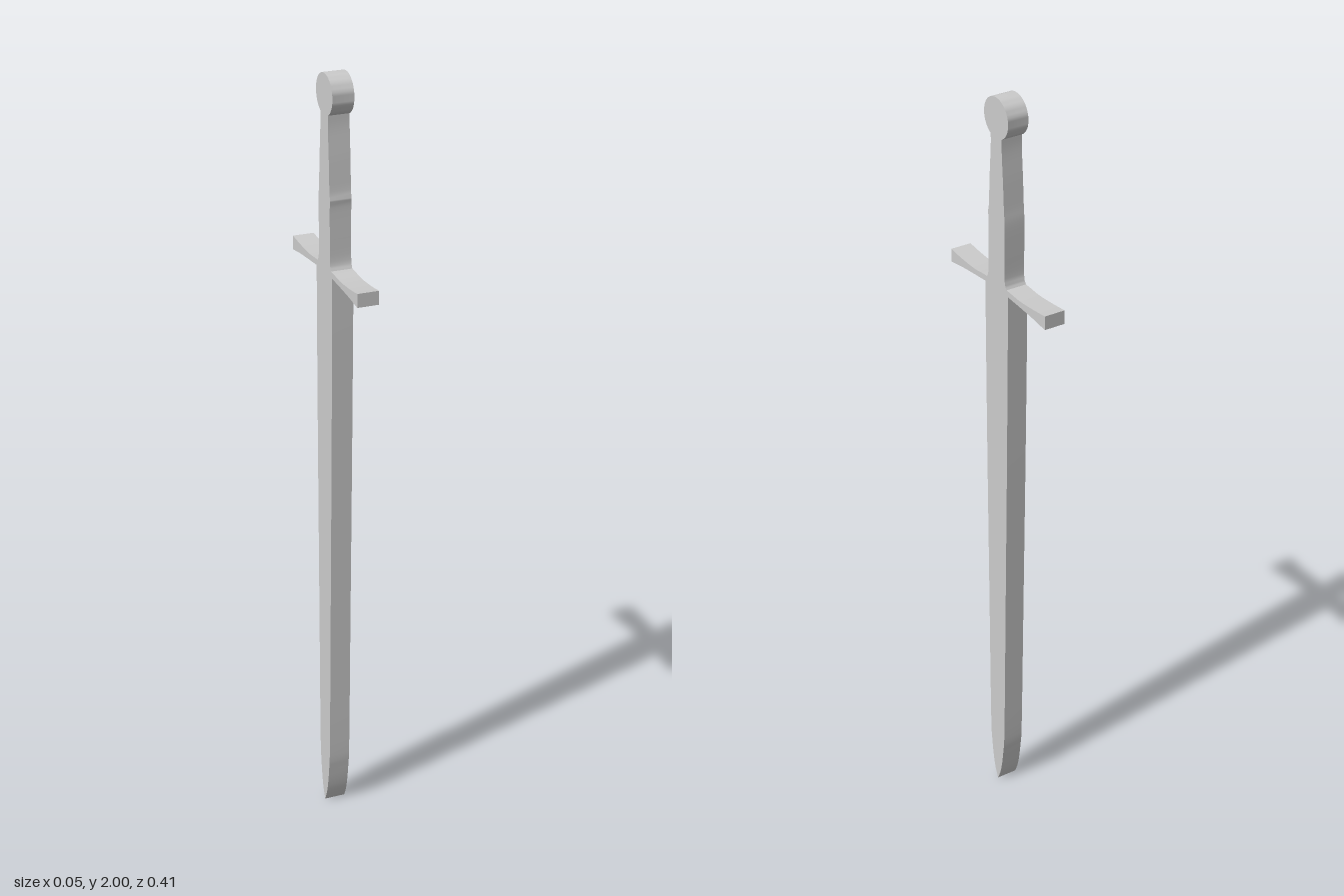
import * as THREE from 'three';
import { toCreasedNormals } from 'three/addons/utils/BufferGeometryUtils.js';

const THICKNESS = 0.055;

export function createModel() {
  const sword = new THREE.Group();
  sword.name = 'sword';
  const material = new THREE.MeshStandardMaterial({ color: 0xcccccc });

  const add = (name, geometry) => {
    const mesh = new THREE.Mesh(toCreasedNormals(geometry, 0.5), material);
    mesh.name = name;
    sword.add(mesh);
    return mesh;
  };

  // Cuts a flat slab from a z-y outline, centred on x = 0
  const slab = (name, outline) => {
    const geometry = new THREE.ExtrudeGeometry(new THREE.Shape(outline), {
      depth: THICKNESS, bevelEnabled: false,
    });
    geometry.translate(0, 0, -THICKNESS / 2).rotateY(-Math.PI / 2);
    return add(name, geometry);
  };

  const smooth = (points, steps) =>
    new THREE.SplineCurve(points.map(([z, y]) => new THREE.Vector2(z, y))).getPoints(steps);

  // Blade: gentle taper, then a curved point; slightly wider towards the front
  const bladeEdge = [[0, 0], [0.016, 0.04], [0.028, 0.11], [0.034, 0.2],
    [0.040, 0.6], [0.046, 1.0], [0.050, 1.35], [0.051, 1.508]];
  const bladeFront = smooth(bladeEdge, 28);
  const bladeBack = smooth(bladeEdge.map(([z, y]) => [-z * 0.95, y]), 28);
  slab('blade', [...bladeBack.reverse(), ...bladeFront.slice(1)]);

  // Crossguard: two arms that widen towards their ends, drooping slightly at the front
  const guardTop = smooth([[-0.206, 1.53], [-0.16, 1.525], [-0.1, 1.521], [-0.044, 1.524],
    [0.044, 1.524], [0.1, 1.519], [0.16, 1.521], [0.206, 1.526]], 28);
  const armBottom = [[0.052, 1.508], [0.1, 1.504], [0.16, 1.498], [0.206, 1.491]];
  const bottomFront = smooth(armBottom, 10);
  const bottomBack = smooth(armBottom.map(([z, y]) => [-z, y + 0.003 * (-0.052 + z) / 0.154]), 10);
  slab('crossguard', [...bottomBack.reverse(), ...bottomFront, ...guardTop.reverse()]);

  // Grip: swells below the middle, with a small finger ridge on the front
  const gripFront = smooth([[0.044, 1.524], [0.037, 1.545], [0.036, 1.62], [0.036, 1.68],
    [0.038, 1.70], [0.034, 1.72], [0.030, 1.80], [0.025, 1.87], [0.025, 1.91]], 32);
  const gripBack = smooth([[-0.042, 1.524], [-0.034, 1.545], [-0.034, 1.62], [-0.034, 1.69],
    [-0.031, 1.73], [-0.027, 1.80], [-0.022, 1.87], [-0.022, 1.91]], 32);
  slab('grip', [...gripFront, ...gripBack.reverse()]);

  // Pommel: round disc
  const pommel = add('pommel',
    new THREE.CylinderGeometry(0.051, 0.051, THICKNESS, 40).rotateZ(Math.PI / 2));
  pommel.position.set(0, 1.949, 0.002);

  return sword;
}
